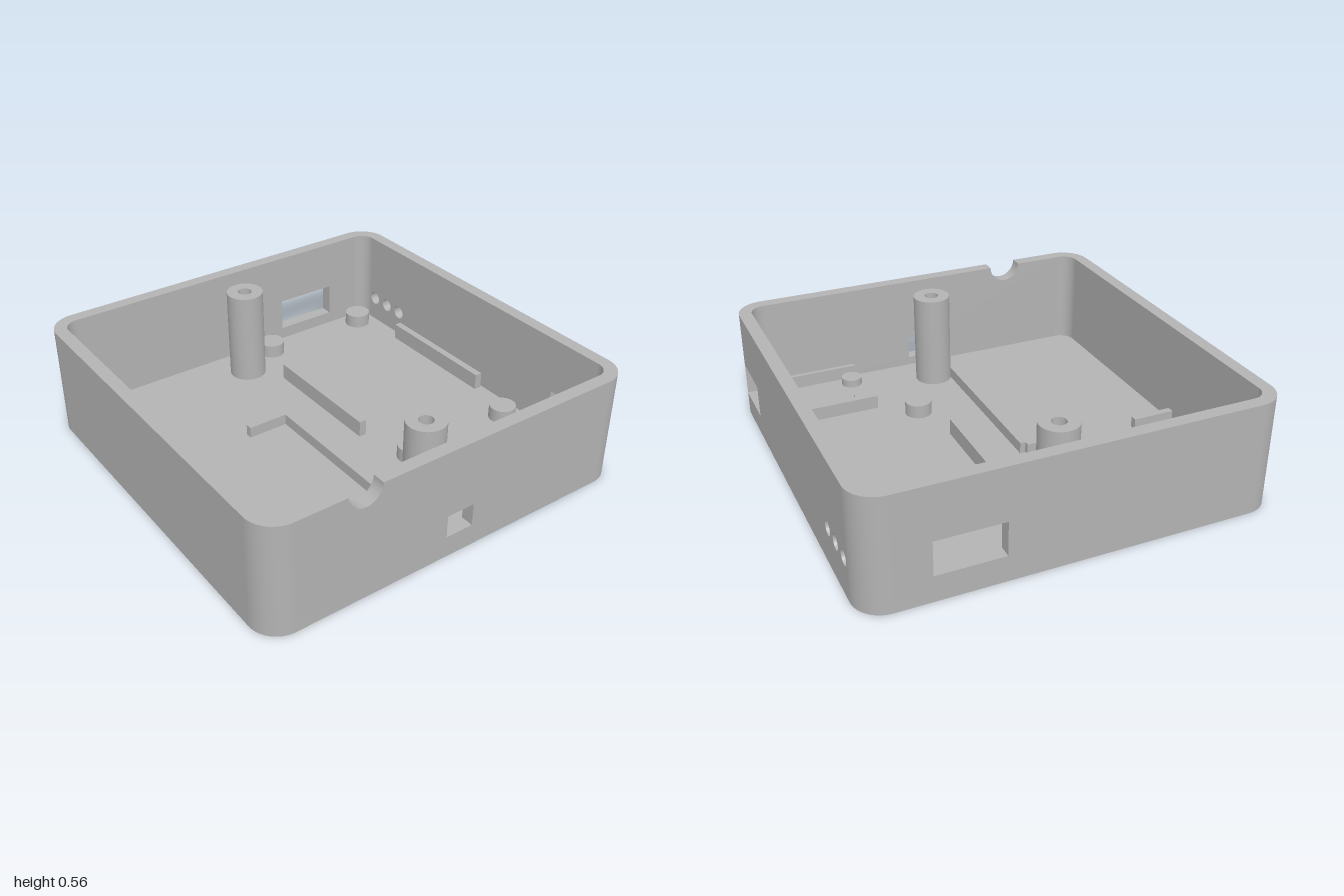
import * as THREE from 'three';
import { toCreasedNormals } from 'three/addons/utils/BufferGeometryUtils.js';

const H = 0.565, FLOOR = 0.065, WALL = 0.065, R = 0.14, C = 1 - R;

export function createModel() {
  const model = new THREE.Group();
  model.name = 'enclosureBase';
  const grey = new THREE.MeshStandardMaterial({ color: 0xb3b3b3 });
  grey.name = 'grey plastic';

  const add = (name, geometry) => {
    const mesh = new THREE.Mesh(geometry, grey);
    mesh.name = name;
    model.add(mesh);
    return mesh;
  };
  const extrude = (shape, depth) => toCreasedNormals(
    new THREE.ExtrudeGeometry(shape, { depth, bevelEnabled: false, curveSegments: 20 }), 0.6);
  // Plan outline (x, z) raised from y0 to y1
  const plan = (shape, y0, y1) => extrude(shape, y1 - y0).rotateX(Math.PI / 2).translate(0, y1, 0);
  const poly = (pts) => new THREE.Shape(pts.map(([x, y]) => new THREE.Vector2(x, y)));
  const rect = (x0, x1, y0, y1) => poly([[x0, y0], [x1, y0], [x1, y1], [x0, y1]]);
  const circle = (x, y, r) => new THREE.Shape().absarc(x, y, r, 0, Math.PI * 2, false);

  // Floor in two layers, the lower one pierced to leave blind recesses underneath
  const floorShape = () => {
    const s = new THREE.Shape();
    [[C, C], [-C, C], [-C, -C], [C, -C]].forEach(([x, y], i) =>
      s.absarc(x, y, R, i * Math.PI / 2, (i + 1) * Math.PI / 2, false));
    return s;
  };
  const lower = floorShape();
  lower.holes.push(rect(-0.61, 0.61, -0.04, 0.04), circle(-0.71, 0, 0.048));
  add('floorUnderside', plan(lower, 0, 0.035));
  add('floor', plan(floorShape(), 0.035, FLOOR));

  // Straight wall panels, drawn flat and turned to their side
  const panel = (name, shape, holes, angle) => {
    shape.holes.push(...holes);
    add(name, extrude(shape, WALL).translate(0, 0, 1 - WALL).rotateY(angle));
  };
  const front = new THREE.Shape();
  front.moveTo(-C, FLOOR);
  front.lineTo(C, FLOOR);
  front.lineTo(C, H);
  front.lineTo(-0.435, H);
  front.absarc(-0.52, H, 0.085, 0, -Math.PI, true); // cable notch
  front.lineTo(-C, H);
  panel('frontWall', front, [rect(-0.075, 0.07, 0.11, 0.225)], 0);

  // Right wall: port running into the corner, and three indicator holes
  const right = poly([[-C, FLOOR], [C, FLOOR], [C, H], [-C, H],
    [-C, 0.28], [-0.6, 0.28], [-0.6, 0.115], [-C, 0.115]]);
  panel('rightWall', right, [0.6, 0.71, 0.82].map((u) => circle(u, 0.197, 0.036)), Math.PI / 2);
  panel('backWall', rect(-C, C, FLOOR, H), [rect(-0.685, -0.355, 0.13, 0.3)], Math.PI);
  panel('leftWall', rect(-C, C, FLOOR, H), [], -Math.PI / 2);

  // Rounded corners; the front one beside the port is cut back at port height
  const corner = (cut) => {
    const s = new THREE.Shape();
    s.absarc(C, C, R, Math.PI / 2, Math.asin(cut / R), true);
    s.absarc(C, C, R - WALL, Math.asin(cut / (R - WALL)), Math.PI / 2, false);
    return s;
  };
  for (let i = 1; i < 4; i++) add('wallCorner', plan(corner(0), FLOOR, H).rotateY(i * Math.PI / 2));
  add('portCornerBottom', plan(corner(0), FLOOR, 0.115));
  add('portCornerMiddle', plan(corner(0.02), 0.115, 0.28));
  add('portCornerTop', plan(corner(0), 0.28, H));

  // Tall screw posts with blind bores
  for (const z of [-0.74, 0.74]) {
    const s = circle(0, z, 0.095);
    s.holes.push(circle(0, z, 0.036));
    add('screwPost', plan(s, FLOOR, 0.55));
  }

  // Round board supports
  const studs = (name, xs, zs, r, top) => {
    for (const x of xs) for (const z of zs) {
      const g = new THREE.CylinderGeometry(r, r, top - FLOOR, 40);
      add(name, g.translate(x, (top + FLOOR) / 2, z));
    }
  };
  studs('mainBoardStud', [0.22, 0.82], [-0.84, 0.395], 0.068, 0.135);
  studs('smallBoardStud', [0.437, 0.847], [0.63, 0.85], 0.054, 0.105);

  // Locating ribs: x0, x1, z0, z1, top
  const ribs = {
    mainBoardRibInner: [0.117, 0.155, -0.565, 0.12, 0.15],
    mainBoardRibOuter: [0.885, 0.923, -0.565, 0.12, 0.15],
    smallBoardRib: [0.397, 0.89, 0.525, 0.565, 0.135],
    smallBoardFrontRib: [0.397, 0.89, 0.912, 0.94, 0.135],
    batteryLongRib: [-0.122, -0.085, -0.195, 0.94, 0.122],
    batteryCornerRib: [-0.33, -0.112, -0.222, -0.187, 0.122],
    batterySideRib: [-0.94, -0.715, -0.222, -0.187, 0.122],
  };
  for (const [name, [x0, x1, z0, z1, top]] of Object.entries(ribs)) {
    add(name, plan(rect(x0, x1, z0, z1), FLOOR, top));
  }
  return model;
}
